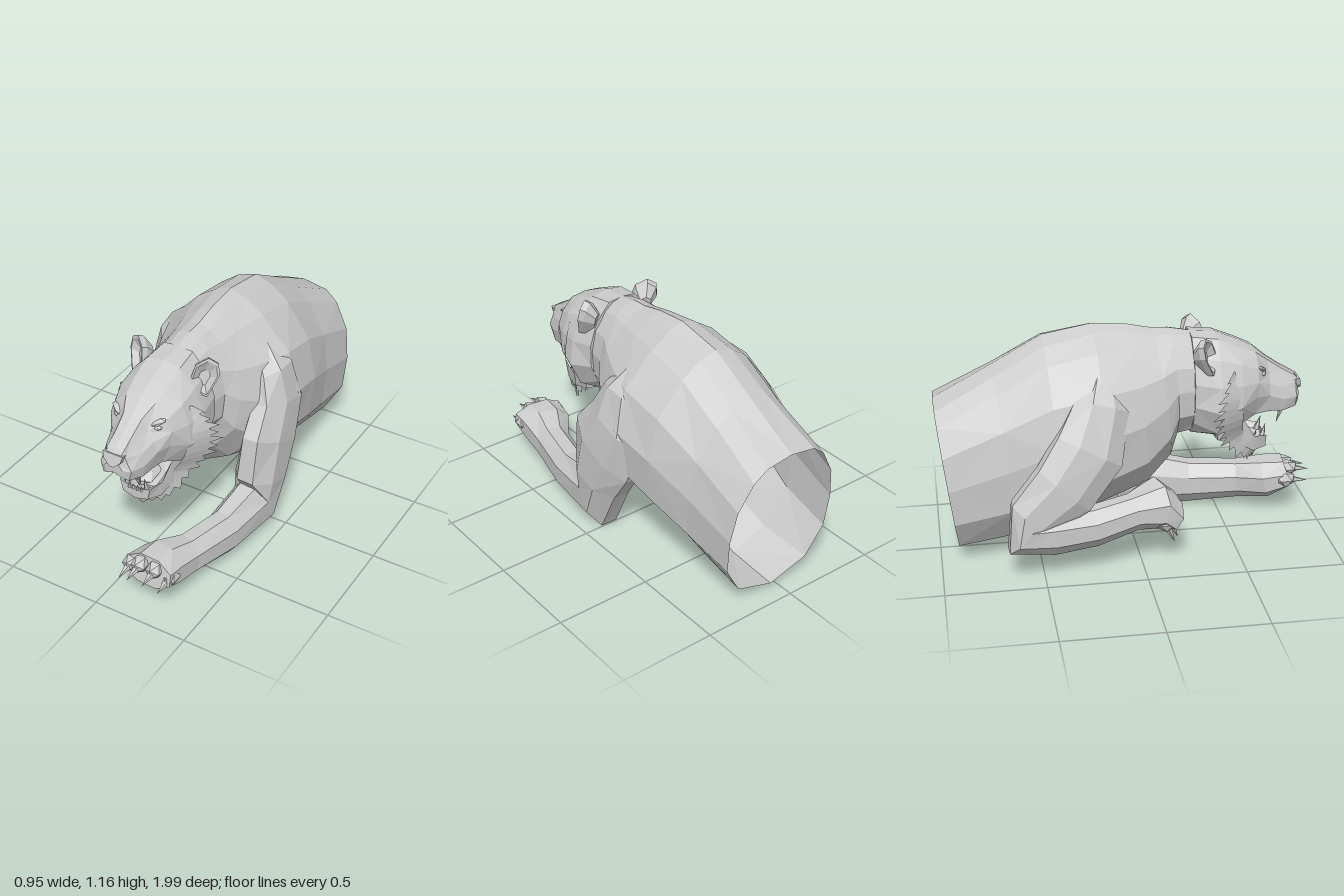
import * as THREE from 'three';

const mat = new THREE.MeshStandardMaterial({ color: 0xcccccc, flatShading: true, side: THREE.DoubleSide });
const V = (x, y, z) => new THREE.Vector3(x, y, z);
const MID = 0.04; // the animal's centre line

function named(geo, name) {
  const m = new THREE.Mesh(geo, mat);
  m.name = name;
  return m;
}

function fromTriangles(tris, name) {
  const g = new THREE.BufferGeometry().setFromPoints(tris);
  g.computeVertexNormals();
  return named(g, name);
}

// Skin over rings that run clockwise when seen from the end of the path
function loft(rings, name, capStart = false, capEnd = false) {
  const t = [], n = rings[0].length;
  for (let i = 0; i + 1 < rings.length; i++) {
    for (let j = 0; j < n; j++) {
      const k = (j + 1) % n;
      const a = rings[i][j], b = rings[i][k], c = rings[i + 1][j], d = rings[i + 1][k];
      if ((i + j) % 2) t.push(a, c, b, b, c, d);
      else t.push(a, c, d, a, d, b);
    }
  }
  const cap = (r, flip) => {
    const m = r.reduce((s, p) => s.add(p), V(0, 0, 0)).divideScalar(n);
    r.forEach((p, j) => {
      const q = r[(j + 1) % n];
      if (flip) t.push(m, p, q); else t.push(m, q, p);
    });
  };
  if (capStart) cap(rings[0], true);
  if (capEnd) cap(rings[rings.length - 1], false);
  return fromTriangles(t, name);
}

// Complete a half ring (top to bottom on the +x side)
const mirrored = half => [...half, ...half.slice(1, -1).reverse().map(p => V(-p.x, p.y, p.z))];

// Tapered limb: stations are [x, y, z, half width, half thickness]
function limb(stations, name) {
  const c = stations.map(s => V(s[0], s[1], s[2]));
  const rings = stations.map((s, i) => {
    const dir = c[Math.min(i + 1, c.length - 1)].clone().sub(c[Math.max(i - 1, 0)]).normalize();
    const side = V(1, 0, 0).addScaledVector(dir, -dir.x).normalize();
    const up = dir.clone().cross(side);
    return Array.from({ length: 8 }, (_, j) => {
      const a = -(j + 0.5) * Math.PI / 4;
      return c[i].clone().addScaledVector(side, Math.cos(a) * s[3] * 1.06).addScaledVector(up, Math.sin(a) * s[4] * 1.06);
    });
  });
  return loft(rings, name, true, true);
}

// Pointed tooth or claw from a base point to a tip
function spike(a, b, r, name) {
  const d = b.clone().sub(a);
  const m = named(new THREE.ConeGeometry(r, d.length(), 5), name);
  m.position.copy(a).addScaledVector(d, 0.5);
  m.quaternion.setFromUnitVectors(V(0, 1, 0), d.normalize());
  return m;
}

function blob(p, sx, sy, sz, name, detail = 0) {
  const m = named(new THREE.IcosahedronGeometry(1, detail), name);
  m.position.copy(p);
  m.scale.set(sx, sy, sz);
  return m;
}

// Torso, open at the back: [top z, top y, bottom z, bottom y, half width, bluntness]
function makeBody() {
  const profile = [[0, 0], [0.03, 0.2], [0.1, 0.45], [0.27, 0.83], [0.48, 0.99], [0.71, 0.93], [0.91, 0.45], [1, 0]];
  const stations = [
    [-1, 0.82, -0.9, 0.02, 0.315, 0.5], [-0.7, 0.98, -0.62, 0.04, 0.335, 0.7],
    [-0.45, 1.12, -0.38, 0.11, 0.385, 0.85], [-0.2, 1.165, -0.17, 0.19, 0.41, 1],
    [-0.02, 1.15, 0.06, 0.27, 0.33, 1], [0.1, 1.125, 0.19, 0.42, 0.26, 0.9],
    [0.19, 1.12, 0.22, 0.54, 0.21, 0.8], [0.4, 1.08, 0.42, 0.58, 0.17, 0.7]];
  const rings = stations.map(([zt, yt, zb, yb, w, k]) => mirrored(profile.map(([t, x]) =>
    V(w * x ** k, yt + (yb - yt) * t, zt + (zb - zt) * t))));
  return loft(rings, 'body');
}

function makeFoot(toes, claw, size, name) {
  const g = new THREE.Group();
  g.name = name;
  for (const [x, y, z] of toes) {
    const p = V(x, y, z);
    g.add(blob(p, size, size, size * 1.3, 'toe'));
    g.add(spike(p.clone().addScaledVector(claw, 0.2), p.clone().add(claw), 0.022, 'claw'));
  }
  return g;
}

function makeEar(s) {
  const outline = [[-0.06, -0.09], [-0.065, 0.03], [-0.02, 0.085], [0.035, 0.075], [0.06, 0.02], [0.045, -0.1]];
  const rings = [[0.5, -0.08], [0.95, -0.03], [1, 0], [0.86, 0], [0.4, -0.03]].map(([k, z]) => {
    const r = outline.map(([x, y]) => V(s * x * k, y * k - (1 - k) * 0.03, z));
    return s < 0 ? r.reverse() : r;
  });
  const ear = loft(rings, 'ear', true, true);
  ear.position.set(s * 0.195, 1.035, 0.36);
  ear.rotation.set(-0.25, s * 0.55, -s * 0.25);
  return ear;
}

// Jagged fur from cheek to chin
function makeRuff(s) {
  const inner = new THREE.CatmullRomCurve3([V(0.17, 0.94, 0.5), V(0.205, 0.8, 0.53), V(0.185, 0.68, 0.54),
    V(0.125, 0.57, 0.56), V(0.09, 0.49, 0.61), V(0, 0.46, 0.68)]);
  const outer = new THREE.CatmullRomCurve3([V(0.21, 0.93, 0.47), V(0.28, 0.8, 0.4), V(0.275, 0.67, 0.38),
    V(0.19, 0.54, 0.44), V(0.11, 0.42, 0.57), V(0, 0.39, 0.64)]);
  const n = 15, t = [];
  const at = (u, k) => {
    const p = inner.getPoint(u).lerp(outer.getPoint(u), k);
    p.x *= s;
    return p;
  };
  for (let i = 0; i < n; i++) {
    const u = i / n, v = (i + 1) / n;
    const quad = [at(u, 0), at(u, 0.7), at(v, 0), at(v, 0), at(u, 0.7), at(v, 0.7)];
    const tooth = [at(u, 0.7), at(Math.min(1, u + 0.9 / n), i % 2 ? 1 : 1.12), at(v, 0.7)];
    const all = [...quad, ...tooth];
    t.push(...(s > 0 ? all.reverse() : all));
  }
  return fromTriangles(t, 'cheekRuff');
}

function makeHead() {
  const g = new THREE.Group();
  g.name = 'head';
  const section = ([z, ...p]) => mirrored(p.map(([x, y]) => V(x, y, z)));
  // Skull and muzzle, from the neck to the nose
  const skull = [
    [0.29, [0, 1.1], [0.08, 1.09], [0.16, 1], [0.2, 0.88], [0.2, 0.76], [0.16, 0.66], [0.08, 0.58], [0, 0.57]],
    [0.42, [0, 1.09], [0.09, 1.075], [0.17, 0.99], [0.22, 0.86], [0.24, 0.73], [0.18, 0.6], [0.09, 0.56], [0, 0.55]],
    [0.53, [0, 1.045], [0.09, 1.03], [0.17, 0.96], [0.205, 0.86], [0.215, 0.75], [0.15, 0.63], [0.08, 0.6], [0, 0.6]],
    [0.62, [0, 1], [0.08, 0.99], [0.145, 0.925], [0.17, 0.86], [0.16, 0.78], [0.115, 0.67], [0.07, 0.69], [0, 0.7]],
    [0.69, [0, 0.94], [0.05, 0.935], [0.08, 0.875], [0.115, 0.83], [0.13, 0.77], [0.11, 0.68], [0.07, 0.7], [0, 0.71]],
    [0.77, [0, 0.885], [0.045, 0.88], [0.065, 0.845], [0.095, 0.8], [0.112, 0.74], [0.1, 0.675], [0.05, 0.7], [0, 0.71]],
    [0.84, [0, 0.845], [0.045, 0.84], [0.055, 0.81], [0.065, 0.78], [0.085, 0.74], [0.07, 0.685], [0.03, 0.705], [0, 0.71]],
    [0.86, [0, 0.82], [0.035, 0.815], [0.035, 0.79], [0.03, 0.77], [0.05, 0.745], [0.04, 0.705], [0.02, 0.715], [0, 0.72]]];
  g.add(loft(skull.map(section), 'skull', true, true));
  // Lower jaw with a hollow floor; its rim rises into the cheeks
  const jaw = [
    [0.42, [0, 0.58], [0.09, 0.58], [0.16, 0.64], [0.14, 0.55], [0, 0.53]],
    [0.56, [0, 0.51], [0.085, 0.54], [0.13, 0.645], [0.125, 0.5], [0, 0.46]],
    [0.62, [0, 0.49], [0.07, 0.5], [0.11, 0.545], [0.1, 0.46], [0, 0.43]],
    [0.69, [0, 0.51], [0.055, 0.52], [0.085, 0.535], [0.07, 0.47], [0, 0.45]]];
  g.add(loft(jaw.map(section), 'lowerJaw', true, true));
  const tongue = blob(V(0, 0.53, 0.58), 0.06, 0.03, 0.09, 'tongue');
  tongue.rotation.x = 0.15;
  g.add(tongue);
  // Nose pad
  const nose = new THREE.Shape([[-0.055, 0.02], [0.055, 0.02], [0.045, -0.015], [0.012, -0.045], [-0.012, -0.045], [-0.045, -0.015]]
    .map(p => new THREE.Vector2(...p)));
  const pad = named(new THREE.ExtrudeGeometry(nose, { depth: 0.03, bevelEnabled: false }), 'nose');
  pad.position.set(0, 0.8, 0.838);
  pad.rotation.x = -0.25;
  g.add(pad);
  for (const s of [-1, 1]) {
    g.add(makeEar(s), makeRuff(s));
    g.add(blob(V(s * 0.106, 0.886, 0.648), 0.026, 0.014, 0.02, 'eye', 1));
    // Heavy brow over the eye
    const brow = blob(V(s * 0.105, 0.91, 0.645), 0.05, 0.014, 0.026, 'brow');
    brow.rotation.set(0.2, s * 0.5, s * 0.3);
    g.add(brow);
    g.add(spike(V(s * 0.07, 0.71, 0.775), V(s * 0.068, 0.595, 0.74), 0.02, 'upperFang'));
    g.add(spike(V(s * 0.056, 0.51, 0.67), V(s * 0.052, 0.59, 0.69), 0.018, 'lowerFang'));
    for (const x of [0.012, 0.034]) {
      g.add(spike(V(s * x, 0.705, 0.82), V(s * x, 0.675, 0.82), 0.011, 'upperIncisor'));
      g.add(spike(V(s * x, 0.505, 0.685), V(s * x, 0.535, 0.69), 0.011, 'lowerIncisor'));
    }
  }
  return g;
}

export function createModel() {
  const root = new THREE.Group();
  root.name = 'prowlingCat';
  const body = makeBody(), head = makeHead();
  body.position.x = head.position.x = MID;
  root.add(body, head);

  // Left foreleg, stretched forward
  root.add(limb([[0.22, 0.98, -0.15, 0.05, 0.05], [0.315, 0.83, -0.13, 0.095, 0.14], [0.36, 0.67, -0.13, 0.095, 0.2],
    [0.375, 0.5, -0.03, 0.1, 0.23], [0.365, 0.3, 0.04, 0.11, 0.175], [0.355, 0.145, 0.08, 0.105, 0.165],
    [0.335, 0.13, 0.36, 0.09, 0.115], [0.28, 0.15, 0.62, 0.09, 0.1], [0.23, 0.175, 0.76, 0.13, 0.105],
    [0.22, 0.205, 0.87, 0.135, 0.075]], 'leftForeleg'));
  root.add(makeFoot([[0.115, 0.2, 0.845], [0.18, 0.235, 0.87], [0.26, 0.23, 0.865], [0.325, 0.19, 0.835]],
    V(0, -0.015, 0.12), 0.045, 'leftPaw'));

  // Right foreleg, elbow drawn back and paw lifted
  root.add(limb([[-0.15, 0.98, -0.18, 0.05, 0.05], [-0.255, 0.83, -0.2, 0.09, 0.14], [-0.335, 0.64, -0.27, 0.09, 0.18],
    [-0.38, 0.47, -0.4, 0.08, 0.17], [-0.39, 0.33, -0.56, 0.08, 0.13], [-0.385, 0.25, -0.6, 0.09, 0.12],
    [-0.38, 0.24, -0.45, 0.085, 0.11], [-0.36, 0.25, -0.25, 0.085, 0.1], [-0.32, 0.29, -0.05, 0.085, 0.09],
    [-0.265, 0.305, 0.07, 0.14, 0.12], [-0.24, 0.25, 0.15, 0.145, 0.08]], 'rightForeleg'));
  root.add(makeFoot([[-0.34, 0.225, 0.115], [-0.265, 0.21, 0.145], [-0.185, 0.215, 0.145], [-0.125, 0.245, 0.115]],
    V(0.005, -0.11, 0.045), 0.045, 'rightPaw'));
  root.add(spike(V(-0.22, 0.32, 0.05), V(-0.155, 0.4, 0.08), 0.05, 'dewclaw'));
  return root;
}
